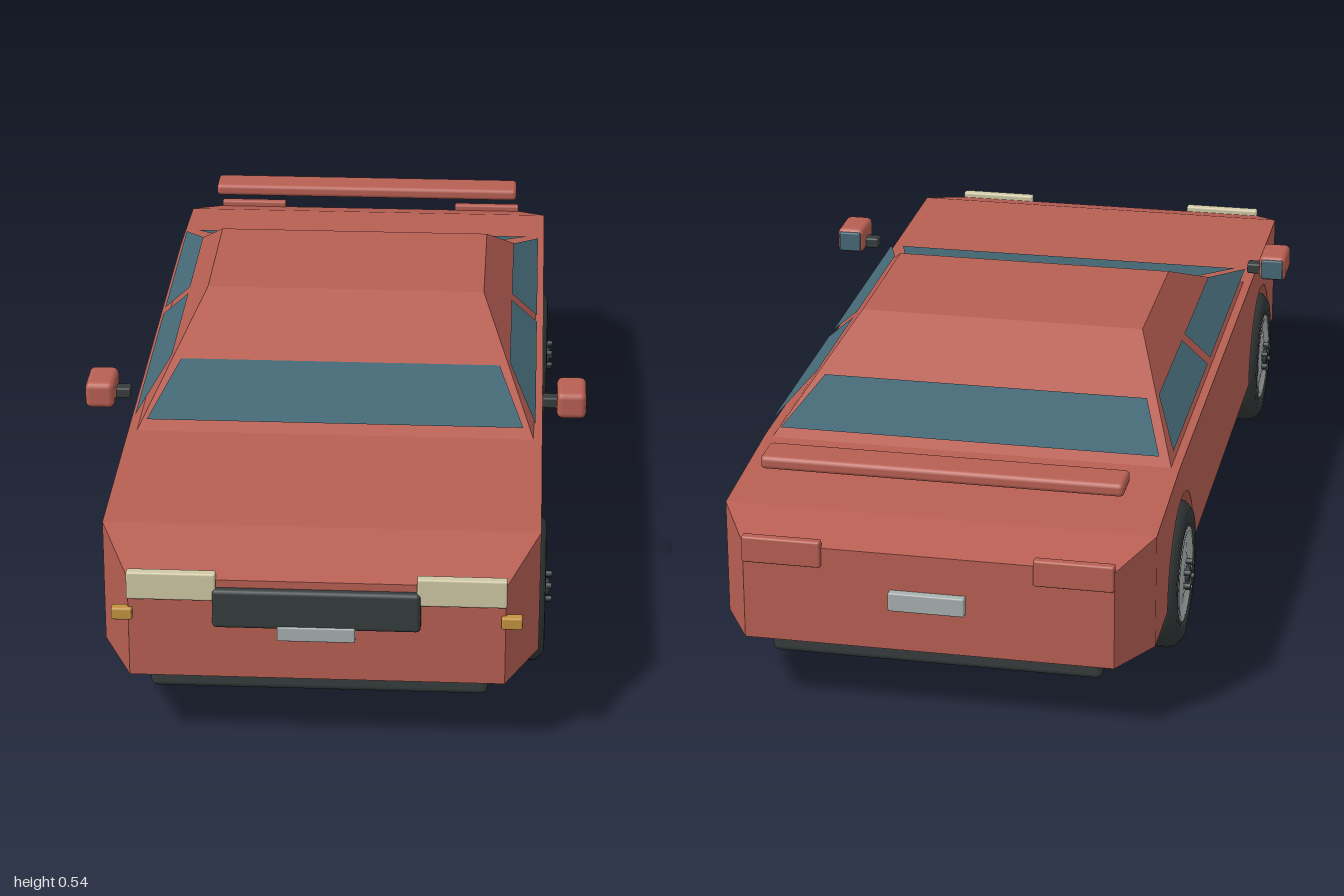
import * as THREE from 'three';
import { RoundedBoxGeometry } from 'three/addons/geometries/RoundedBoxGeometry.js';
import { ConvexGeometry } from 'three/addons/geometries/ConvexGeometry.js';

const mat = (name, color, extra = {}) => {
  const m = new THREE.MeshStandardMaterial({ color, ...extra });
  m.name = name;
  return m;
};

export function createModel() {
  const car = new THREE.Group();
  car.name = 'car';
  const paint = mat('red paint', 0xb85f53);
  const glass = mat('blue glass', 0x446875, { side: THREE.DoubleSide });
  const trim = mat('dark trim', 0x363c3d);
  const rubber = mat('tyre rubber', 0x343939);
  const alloy = mat('wheel alloy', 0xaeb3b3);
  const steel = mat('underbody steel', 0x5c676c);
  const cream = mat('headlight cream', 0xd0c9a6);
  const amber = mat('indicator amber', 0xc4933f);
  const plate = mat('plate grey', 0xa8b0b0);

  const add = (name, geometry, material, parent = car) => {
    const mesh = new THREE.Mesh(geometry, material);
    mesh.name = name;
    parent.add(mesh);
    return mesh;
  };
  // Rounded box given by its ranges on each axis
  const box = (name, material, [x0, x1], [y0, y1], [z0, z1], r = 0.006) => {
    const g = new RoundedBoxGeometry(x1 - x0, y1 - y0, z1 - z0, 2, r);
    g.translate((x0 + x1) / 2, (y0 + y1) / 2, (z0 + z1) / 2);
    return add(name, g, material);
  };
  const mirrored = (s, [a, b]) => (s > 0 ? [a, b] : [-b, -a]);
  // Flat-sided solid through points [x, y, z], each repeated at -x
  const solid = (name, points) => add(name, new ConvexGeometry(points.flatMap(([x, y, z]) =>
    [new THREE.Vector3(x, y, z), new THREE.Vector3(-x, y, z)])), paint);
  const pane = (name, corners) => {
    const g = new THREE.BufferGeometry();
    g.setAttribute('position', new THREE.Float32BufferAttribute(corners.flat(), 3));
    g.setIndex([0, 1, 2, 0, 2, 3]);
    g.computeVertexNormals();
    return add(name, g, glass);
  };

  // Main body: side profile with wheel arches, extruded across the width
  const axles = [-0.57, 0.59];
  const half = 0.41, floor = 0.14, hub = 0.145, arch = 0.162;
  const side = new THREE.Shape();
  side.moveTo(-0.88, floor);
  for (const z of axles) {
    side.lineTo(z - arch, floor);
    side.absarc(z, hub, arch, Math.PI, 0, true);
    side.lineTo(z + arch, floor);
  }
  [[0.84, floor], [0.84, 0.383], [-0.6, 0.383], [-0.88, 0.365]].forEach(p => side.lineTo(...p));
  const bodyGeo = new THREE.ExtrudeGeometry(side, { depth: 2 * half, bevelEnabled: false, curveSegments: 20 });
  bodyGeo.rotateY(-Math.PI / 2).translate(half, 0, 0);
  add('body', bodyGeo, paint);

  // Tapered nose and tail
  solid('nose', [[half, floor, 0.84], [half, 0.383, 0.84], [0.348, floor, 0.983], [0.348, 0.34, 0.983]]);
  solid('tail', [[half, floor, -0.88], [half, 0.365, -0.88], [0.35, floor, -0.985], [0.35, 0.335, -0.985]]);

  // Cabin
  solid('cabin', [[0.395, 0.38, 0.43], [0.395, 0.38, -0.61], [0.285, 0.54, 0.04], [0.285, 0.54, -0.295]]);

  // Window panes, standing slightly proud at their lower edges
  pane('windscreen', [[-0.372, 0.411, 0.43], [0.372, 0.411, 0.43], [0.322, 0.461, 0.237], [-0.322, 0.461, 0.237]]);
  pane('rearWindow', [[0.372, 0.411, -0.62], [-0.372, 0.411, -0.62], [-0.322, 0.463, -0.462], [0.322, 0.463, -0.462]]);
  for (const s of [1, -1]) {
    const sideName = s > 0 ? 'left' : 'right';
    const sideWindow = (name, front, back, topFront, topBack) => {
      const c = [[s * 0.396, 0.415, front], [s * 0.396, 0.415, back],
        [s * 0.342, 0.463, topBack], [s * 0.342, 0.463, topFront]];
      pane(sideName + name, s > 0 ? c : c.reverse());
    };
    sideWindow('FrontWindow', 0.42, -0.11, 0.225, -0.11);
    sideWindow('RearWindow', -0.145, -0.6, -0.145, -0.44);

    // Door mirrors
    box(sideName + 'Mirror', paint, mirrored(s, [0.437, 0.495]), [0.426, 0.48], [0.325, 0.42], 0.012);
    box(sideName + 'MirrorGlass', glass, mirrored(s, [0.443, 0.489]), [0.432, 0.474], [0.319, 0.327], 0.003);
    box(sideName + 'MirrorStalk', trim, mirrored(s, [0.409, 0.44]), [0.431, 0.453], [0.35, 0.378], 0.004);

    // Lights
    box(sideName + 'Headlight', cream, mirrored(s, [0.185, 0.35]), [0.3, 0.355], [0.972, 0.992], 0.004);
    box(sideName + 'Indicator', amber, mirrored(s, [0.34, 0.379]), [0.257, 0.281], [0.972, 0.993], 0.004);
    box(sideName + 'TailLight', paint, mirrored(s, [0.2, 0.35]), [0.298, 0.35], [-0.995, -0.976], 0.004);
  }

  // Grille, plates, spoiler and underbody
  box('grille', trim, [-0.192, 0.192], [0.247, 0.325], [0.965, 0.997], 0.008);
  box('frontPlate', plate, [-0.072, 0.072], [0.225, 0.254], [0.98, 1], 0.003);
  box('rearPlate', plate, [-0.072, 0.072], [0.225, 0.262], [-1, -0.98], 0.003);
  box('spoiler', paint, [-0.345, 0.345], [0.431, 0.457], [-0.868, -0.792], 0.009);
  box('chassis', trim, [-0.317, 0.317], [0.08, 0.15], [-0.92, 0.92], 0.012);
  box('underTray', steel, [-0.275, 0.275], [0.056, 0.09], [-0.825, 0.825], 0.012);

  // Wheels: lathed tyre and rim, dark hub with studs
  const lathe = points => new THREE.LatheGeometry(points.map(p => new THREE.Vector2(...p)), 40);
  const tyreGeo = lathe([[0, -0.048], [0.11, -0.048], [0.128, -0.047], [0.142, -0.034], [0.145, -0.022],
    [0.145, 0.022], [0.142, 0.034], [0.128, 0.047], [0.11, 0.048], [0.096, 0.046], [0.094, 0.03]]);
  const rimGeo = lathe([[0.097, 0.036], [0.093, 0.047], [0.085, 0.047], [0.078, 0.038],
    [0.045, 0.042], [0.034, 0.047], [0, 0.047]]);
  const hubGeo = new THREE.CylinderGeometry(0.016, 0.018, 0.018, 16);
  const studGeo = new THREE.CylinderGeometry(0.006, 0.006, 0.02, 8);
  for (const z of axles) for (const s of [1, -1]) {
    const wheel = new THREE.Group();
    wheel.name = (z > 0 ? 'front' : 'rear') + (s > 0 ? 'Left' : 'Right') + 'Wheel';
    wheel.position.set(s * 0.374, hub, z);
    wheel.rotation.z = -s * Math.PI / 2;
    add('tyre', tyreGeo, rubber, wheel);
    add('rim', rimGeo, alloy, wheel);
    add('hubCap', hubGeo, trim, wheel).position.y = 0.046;
    for (let i = 0; i < 6; i++) {
      const a = i * Math.PI / 3;
      add('stud', studGeo, trim, wheel).position.set(0.028 * Math.cos(a), 0.05, 0.028 * Math.sin(a));
    }
    car.add(wheel);
  }
  return car;
}
